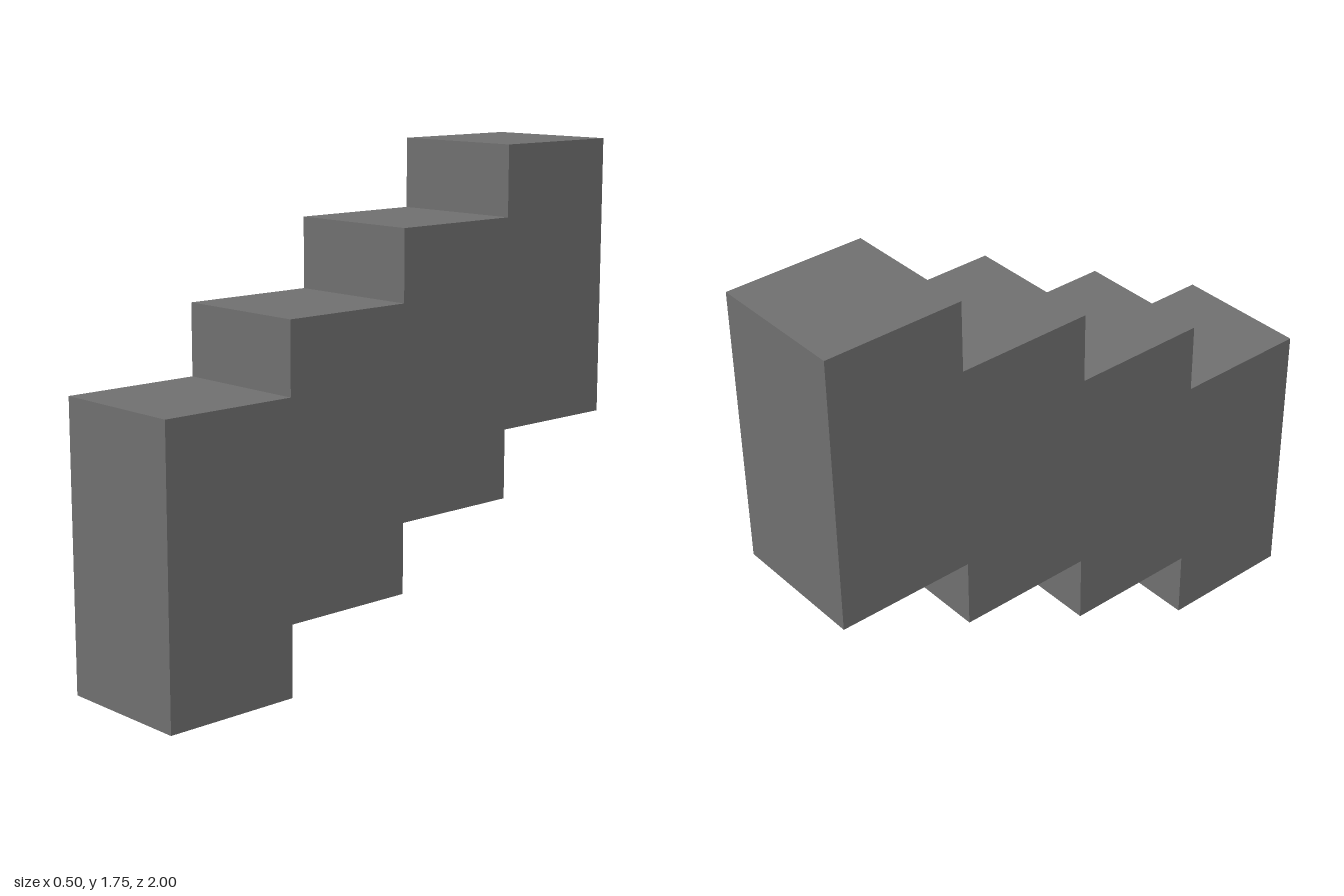
import * as THREE from 'three';

const STEPS = 4, TREAD = 0.5, RISE = 0.25, HEIGHT = 1, WIDTH = 0.5;

export function createModel() {
  const group = new THREE.Group();
  group.name = 'staircase';

  // Side profile: stepped top going up to the back, matching stepped underside
  const top = [], bottom = [];
  for (let i = 0; i < STEPS; i++) {
    const start = -1 + i * TREAD, end = start + TREAD, y = i * RISE;
    bottom.push(new THREE.Vector2(start, y), new THREE.Vector2(end, y));
    top.push(new THREE.Vector2(start, y + HEIGHT), new THREE.Vector2(end, y + HEIGHT));
  }
  const profile = new THREE.Shape([...bottom, ...top.reverse()]);

  // Extrude across the width, then turn so the low end faces the front
  const geometry = new THREE.ExtrudeGeometry(profile, { depth: WIDTH, bevelEnabled: false });
  geometry.translate(0, 0, -WIDTH / 2);
  geometry.rotateY(Math.PI / 2);

  // Dark stone grey
  const steps = new THREE.Mesh(
    geometry,
    new THREE.MeshStandardMaterial({ color: 0x707070, flatShading: true })
  );
  steps.name = 'steps';
  group.add(steps);
  return group;
}
